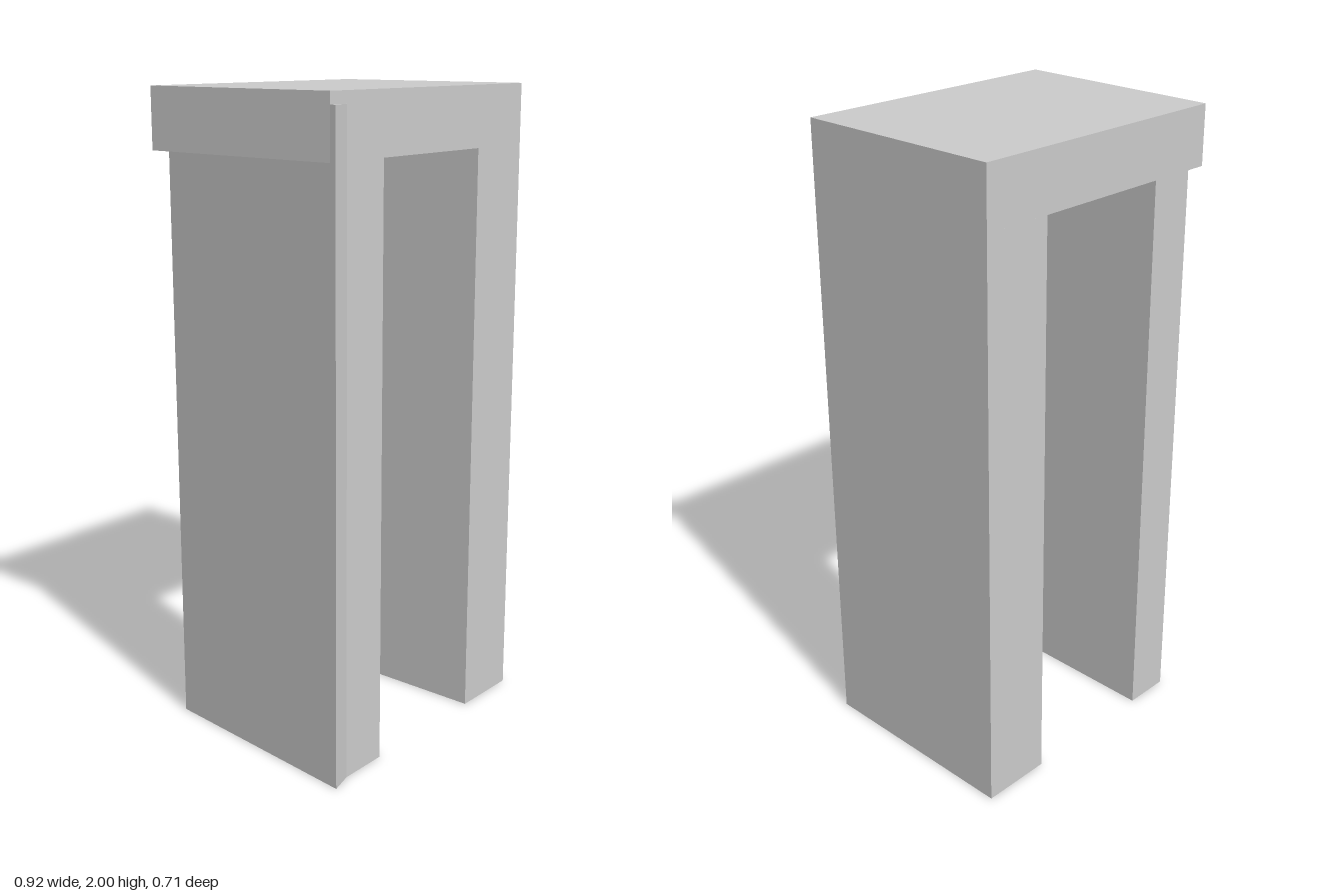
import * as THREE from 'three';

const material = new THREE.MeshStandardMaterial({ color: 0xcccccc, flatShading: true });

// Upright prism from a plan outline of [x, z] points, between two heights
function prism(name, plan, bottom, top) {
  const shape = new THREE.Shape(plan.map(([x, z]) => new THREE.Vector2(x, -z)));
  const geometry = new THREE.ExtrudeGeometry(shape, { depth: top - bottom, bevelEnabled: false });
  geometry.rotateX(-Math.PI / 2);
  geometry.translate(0, bottom, 0);
  const mesh = new THREE.Mesh(geometry, material);
  mesh.name = name;
  return mesh;
}

export function createModel() {
  const group = new THREE.Group();
  group.name = 'archway';
  const ceiling = 1.815;

  // Roof slab, slightly out of square
  group.add(prism('roofSlab', [
    [-0.46, 0.335], [0.458, 0.335], [0.458, -0.357], [-0.448, -0.352],
  ], ceiling, 2));

  // Straight wall on the left
  group.add(prism('leftWall', [
    [0.23, 0.335], [0.458, 0.335], [0.458, -0.357], [0.23, -0.3558],
  ], 0, ceiling));

  // Right wall: narrows toward the back and flares past the roof at the front corner
  group.add(prism('rightWall', [
    [-0.462, 0.355], [-0.39, 0.335], [-0.23, 0.335], [-0.23, -0.353], [-0.382, -0.352],
  ], 0, 1.965));

  return group;
}
